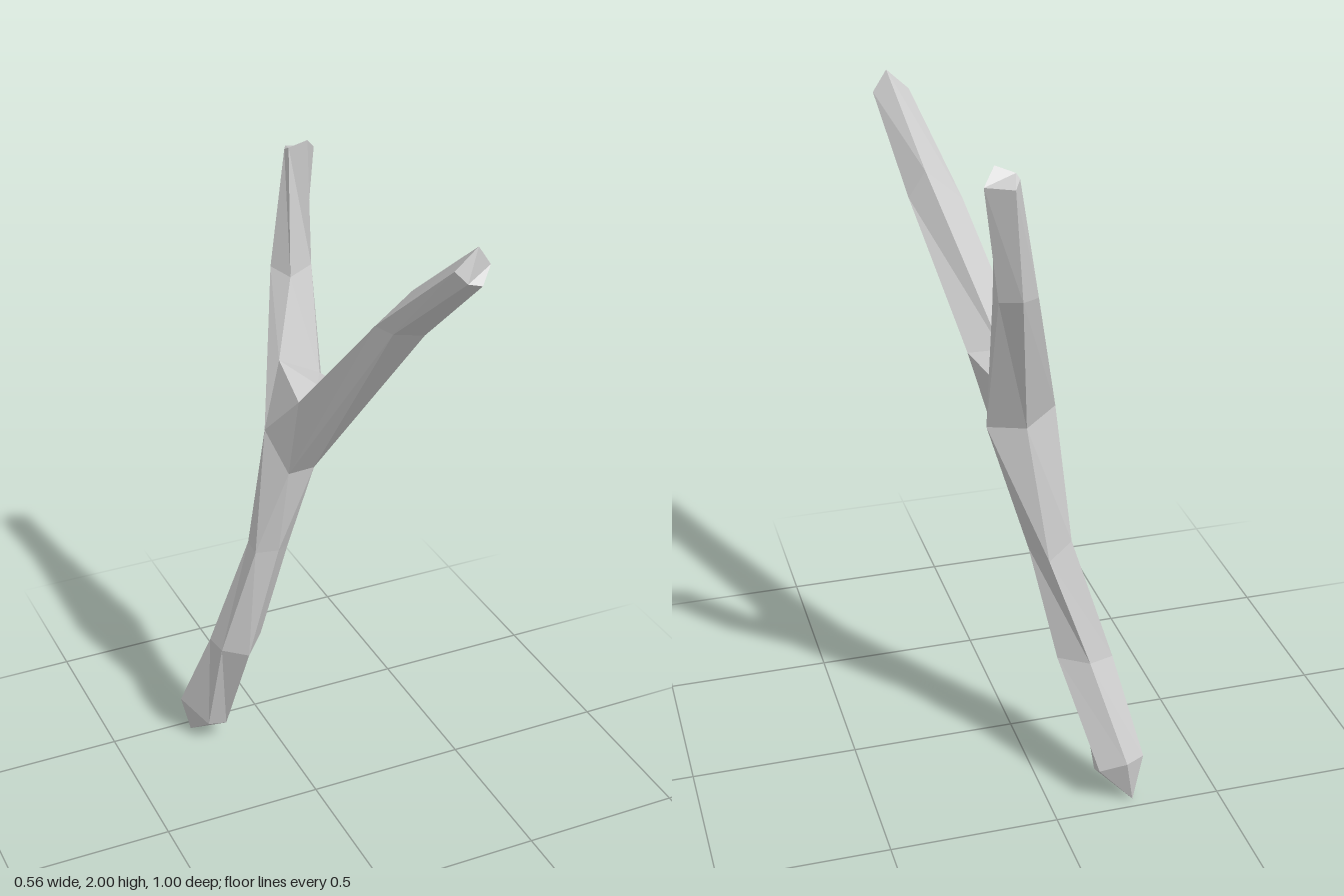
import * as THREE from 'three';

// Five-sided rings, listed clockwise as seen from above.
const foot = [-0.245, 0, -0.465];
const trunkRings = [
  [[-0.28, 0.14, -0.45], [-0.213, 0.155, -0.5], [-0.14, 0.12, -0.465], [-0.155, 0.06, -0.37], [-0.22, 0.08, -0.36]],
  [[-0.215, 0.43, -0.335], [-0.14, 0.43, -0.357], [-0.057, 0.43, -0.3], [-0.13, 0.415, -0.22], [-0.205, 0.43, -0.26]],
  [[-0.105, 0.8, -0.27], [-0.03, 0.76, -0.3], [0.015, 0.78, -0.24], [-0.04, 0.8, -0.185], [-0.11, 0.8, -0.2]],
];

// Neck ring and the saddle corners where the trunk forks
const left = [-0.07, 1.21, -0.21], back = [0.03, 1.18, -0.27], right = [0.135, 1.18, -0.23];
const frontR = [0.08, 1.06, -0.19], frontL = [-0.02, 1.08, -0.15];
const backL = [0, 1.4, -0.26], backR = [0.125, 1.34, -0.25];
const foreL = [-0.013, 1.345, -0.09], foreMid = [0.065, 1.365, -0.135], foreR = [0.15, 1.345, -0.09];

const backRings = [
  [left, back, right, backR, backL],
  [[0.04, 1.63, -0.41], [0.095, 1.64, -0.455], [0.15, 1.63, -0.415], [0.155, 1.63, -0.375], [0.075, 1.615, -0.345]],
  [[0.1, 1.97, -0.44], [0.125, 1.96, -0.49], [0.197, 1.96, -0.45], [0.157, 2, -0.405], [0.105, 1.98, -0.42]],
];
const frontRings = [
  [foreL, foreMid, foreR, frontR, frontL],
  [[0.085, 1.69, 0.195], [0.19, 1.78, 0.207], [0.237, 1.7, 0.22], [0.2, 1.67, 0.265], [0.115, 1.68, 0.245]],
  [[0.173, 1.94, 0.465], [0.237, 2, 0.47], [0.28, 1.94, 0.46], [0.24, 1.9, 0.495], [0.2, 1.91, 0.49]],
];

// Turn a polygon into a fan of triangles
const fan = (...p) => p.slice(2).flatMap((q, i) => [p[0], p[i + 1], q]);

// Skin between successive rings
function skin(rings) {
  const tris = [];
  for (let k = 0; k + 1 < rings.length; k++) {
    const a = rings[k], b = rings[k + 1];
    a.forEach((p, i) => {
      const j = (i + 1) % a.length;
      tris.push(...fan(p, b[i], b[j], a[j]));
    });
  }
  return tris;
}

const endCap = (rings) => fan(...[...rings[rings.length - 1]].reverse());

function part(name, tris, material) {
  const geometry = new THREE.BufferGeometry();
  geometry.setAttribute('position', new THREE.Float32BufferAttribute(tris.flat(), 3));
  geometry.computeVertexNormals();
  const mesh = new THREE.Mesh(geometry, material);
  mesh.name = name;
  return mesh;
}

export function createModel() {
  const group = new THREE.Group();
  group.name = 'forkedStick';
  const wood = new THREE.MeshStandardMaterial({ color: 0xcccccc, flatShading: true });

  // Trunk with its pointed broken foot
  const base = trunkRings[0];
  const point = base.flatMap((p, i) => [p, base[(i + 1) % base.length], foot]);
  const neck = [left, back, right, frontR, frontL];
  group.add(part('trunk', [...skin([...trunkRings, neck]), ...point], wood));

  // Fork: side webs and the saddle on top
  group.add(part('fork', [
    ...fan(left, frontL, foreL, backL),
    ...fan(frontR, right, backR, foreR),
    ...fan(foreMid, foreR, backR, backL, foreL),
  ], wood));

  // Two branches with cut ends
  group.add(part('backBranch', [...skin(backRings), ...endCap(backRings)], wood));
  group.add(part('frontBranch', [...skin(frontRings), ...endCap(frontRings)], wood));
  return group;
}
